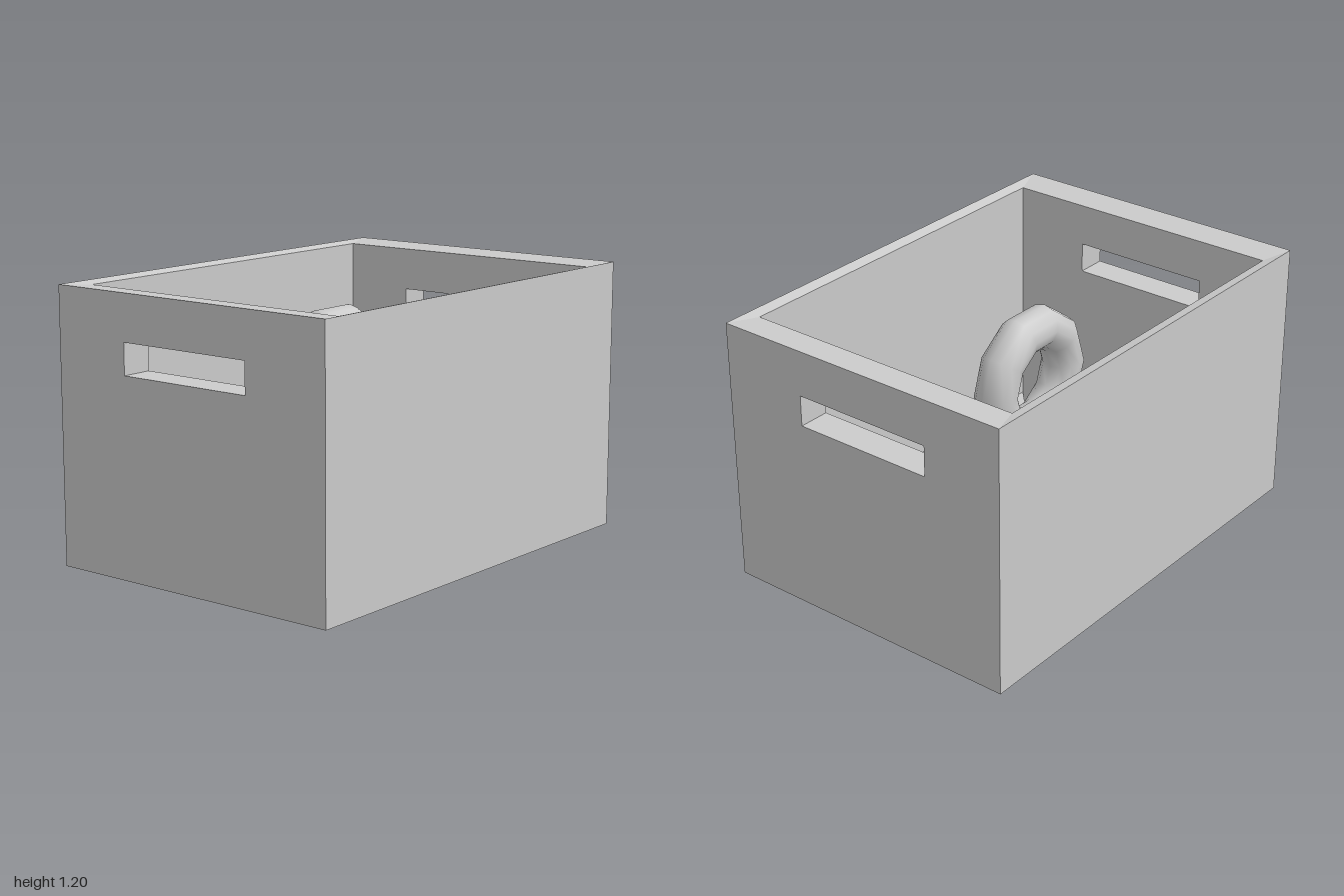
import * as THREE from 'three';

const material = new THREE.MeshStandardMaterial({ color: 0xcccccc });
const TOP = 1.2, LIP = 0.012;

function polygon(points) {
  return new THREE.Shape(points.map(([x, y]) => new THREE.Vector2(x, y)));
}

// Upright panel with mitred ends; its inner face sits slightly lower than the outer one
function wall(name, half, innerHalf, distance, depth, angle, slot) {
  const shape = polygon([[-half, LIP], [half, LIP], [half, TOP], [-half, TOP]]);
  if (slot) {
    const [a, b] = slot;
    shape.holes.push(polygon([[a, 0.865], [a, 1], [b, 1], [b, 0.865]]));
  }
  const geometry = new THREE.ExtrudeGeometry(shape, { depth, steps: 2, bevelEnabled: false });
  const p = geometry.attributes.position;
  for (let i = 0; i < p.count; i++) {
    const inward = 1 - p.getZ(i) / depth;
    const x = p.getX(i), y = p.getY(i);
    if (Math.abs(x) > half - 0.001) p.setX(i, x - Math.sign(x) * inward * (half - innerHalf));
    if (y < LIP + 0.001 || y > TOP - 0.001) p.setY(i, y - LIP * inward);
  }
  geometry.translate(0, 0, distance - depth);
  geometry.rotateY(angle);
  geometry.computeVertexNormals();
  const mesh = new THREE.Mesh(geometry, material);
  mesh.name = name;
  return mesh;
}

// Floor of diamonds touching at their corners, cut in half along the long walls
function latticeFloor() {
  const floor = new THREE.Group();
  floor.name = 'latticeFloor';
  const xs = [-0.86, -0.67, -0.47, -0.255, -0.04, 0.18, 0.395, 0.625, 0.86];
  const zs = [-0.655, -0.5, -0.34, -0.19, -0.025, 0.13, 0.295, 0.47, 0.65];
  for (let i = 1; i < 8; i += 2) {
    for (let j = 0; j < 9; j += 2) {
      const corners = [[xs[i - 1], -zs[j]]];
      if (j < 8) corners.push([xs[i], -zs[j + 1]]);
      corners.push([xs[i + 1], -zs[j]]);
      if (j > 0) corners.push([xs[i], -zs[j - 1]]);
      const geometry = new THREE.ExtrudeGeometry(polygon(corners), { depth: 0.12, bevelEnabled: false });
      geometry.rotateX(-Math.PI / 2);
      const tile = new THREE.Mesh(geometry, material);
      tile.name = 'floorDiamond';
      floor.add(tile);
    }
  }
  return floor;
}

export function createModel() {
  const model = new THREE.Group();
  model.name = 'crate';

  // Walls, the two short ones with hand slots
  model.add(
    wall('frontWall', 1, 0.86, 0.7, 0.05, 0),
    wall('backWall', 1, 0.86, 0.7, 0.05, Math.PI),
    wall('leftWall', 0.7, 0.65, 1, 0.14, Math.PI / 2, [-0.305, 0.335]),
    wall('rightWall', 0.7, 0.65, 1, 0.14, -Math.PI / 2, [-0.335, 0.305]),
  );

  model.add(latticeFloor());

  // Upright ring floating inside the crate
  const ring = new THREE.Mesh(new THREE.TorusGeometry(0.232, 0.093, 12, 10), material);
  ring.name = 'ring';
  ring.position.set(-0.055, 0.75, -0.02);
  model.add(ring);

  return model;
}
